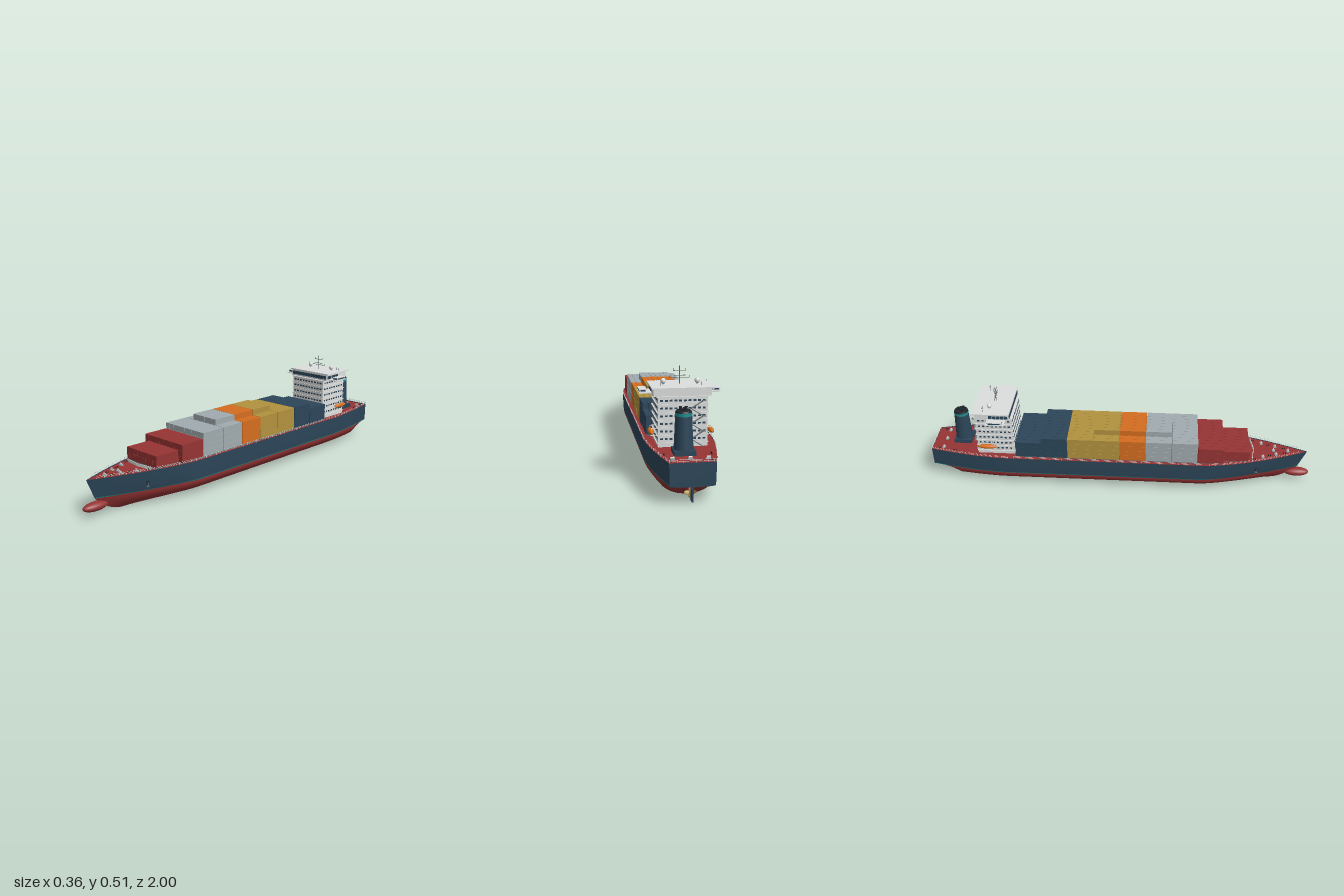
import * as THREE from 'three';
import { mergeGeometries } from 'three/addons/utils/BufferGeometryUtils.js';

const paint = (name, color, side = THREE.FrontSide) => {
  const m = new THREE.MeshStandardMaterial({ color, side });
  m.name = name;
  return m;
};
const V = (x, y, z) => new THREE.Vector3(x, y, z);
const box = (w, h, d, x, y, z) => new THREE.BoxGeometry(w, h, d).translate(x, y, z);
const rod = (a, b, r = 0.0009) => new THREE.TubeGeometry(new THREE.LineCurve3(a, b), 1, r, 5);
const range = (n, f) => Array.from({ length: n }, (_, i) => f(i));

// Hull form: s runs from the stern (-1) to the stem (0.975)
const DECK = 0.174, TOP = 0.178, WATER = 0.08, TIP = 0.975;
const fullness = (s, power) => {
  if (s > 0.42) return Math.max(0, 1 - Math.pow((s - 0.42) / (TIP - 0.42), power));
  if (s < -0.6) return 1 - 0.38 * Math.pow((-0.6 - s) / 0.4, 1.6);
  return 1;
};
const keel = (s) => 0.074 * Math.sin(Math.min(1, Math.max(0, (-0.86 - s) / 0.11)) * Math.PI / 2);
const stem = (y) => (y > WATER ? 0.935 + (y - WATER) * 0.41 : 0.78 + 0.155 * Math.sqrt(Math.max(0, y) / WATER));
const place = (x, y, s) => V(x, y, s > 0.4 ? 0.4 + (s - 0.4) * (stem(y) - 0.4) / (TIP - 0.4) : s);
const below = (s, v) => {
  const a = v * Math.PI / 2, k = keel(s);
  return place(0.151 * fullness(s, 1.35) * Math.sin(a), WATER - (WATER - k) * Math.cos(a), s);
};
const above = (s, y) => {
  const t = Math.sqrt(Math.max(0, y - WATER) / (TOP - WATER));
  return place(THREE.MathUtils.lerp(0.151 * fullness(s, 1.35), 0.156 * fullness(s, 1.6), t), y, s);
};

// Skin between two section parameters, one side of the ship
function skin(f, from, to, rows, side) {
  const n = 96, pos = [], idx = [];
  for (let i = 0; i <= n; i++) for (let j = 0; j <= rows; j++) {
    const p = f(-1 + (TIP + 1) * i / n, from + (to - from) * j / rows);
    pos.push(p.x * side, p.y, p.z);
  }
  for (let i = 0; i < n; i++) for (let j = 0; j < rows; j++) {
    const a = i * (rows + 1) + j, b = a + 1, c = a + rows + 1, d = c + 1;
    idx.push(...(side > 0 ? [a, b, c, b, d, c] : [a, c, b, b, c, d]));
  }
  const g = new THREE.BufferGeometry();
  g.setAttribute('position', new THREE.Float32BufferAttribute(pos, 3));
  g.setIndex(idx);
  g.computeVertexNormals();
  return g;
}

export function createModel() {
  const ship = new THREE.Group();
  ship.name = 'containerShip';
  const navy = paint('navy', 0x2c4659, THREE.DoubleSide), red = paint('red', 0x963434);
  const white = paint('white', 0xdcdfdd), grey = paint('lightGrey', 0xa1abaf);
  const yellow = paint('ochre', 0xb3923f), orange = paint('orange', 0xd56e20);
  const teal = paint('teal', 0x1f8a8c), black = paint('black', 0x20262b), steel = paint('steel', 0x687177);
  const add = (name, mat, geoms) => {
    const mesh = new THREE.Mesh(mergeGeometries([].concat(geoms)), mat);
    mesh.name = name;
    ship.add(mesh);
    return mesh;
  };
  const both = (f) => [-1, 1].flatMap(f);

  // Hull, boot stripe, transom and deck
  add('hullBottom', red, both((m) => skin(below, 0, 1, 14, m)));
  add('waterlineStripe', teal, both((m) => skin(above, WATER, 0.084, 1, m)));
  add('hullSides', navy, both((m) => skin(above, 0.084, TOP, 8, m)));
  const half = [...range(13, (i) => below(-1, i / 12)), ...range(6, (i) => above(-1, 0.09 + (TOP - 0.09) * i / 5))];
  const outline = [...half, ...half.slice(1).reverse().map((p) => V(-p.x, p.y, 0))];
  add('transom', navy, new THREE.ShapeGeometry(new THREE.Shape(outline.map((p) => new THREE.Vector2(p.x, p.y))))
    .rotateY(Math.PI).translate(0, 0, -1));
  const edge = range(80, (i) => above(-1 + (TIP + 1) * i / 80, DECK));
  const plan = [...edge.map((p) => new THREE.Vector2(p.x, -p.z)),
    new THREE.Vector2(0, -0.97), ...edge.map((p) => new THREE.Vector2(-p.x, -p.z)).reverse()];
  add('deck', red, new THREE.ShapeGeometry(new THREE.Shape(plan)).rotateX(-Math.PI / 2).translate(0, DECK, 0));
  add('bulbousBow', red, new THREE.SphereGeometry(1, 32, 20).scale(0.028, 0.0215, 0.066).translate(0, 0.0445, 0.934));

  // Rudder and propeller
  add('rudder', navy, [box(0.008, 0.055, 0.034, 0, 0.037, -0.979), rod(V(0, 0.06, -0.975), V(0, 0.08, -0.975), 0.004)]);
  add('shaft', red, rod(V(0, 0.034, -0.86), V(0, 0.034, -0.932), 0.006));
  add('propeller', yellow, [
    new THREE.SphereGeometry(0.007, 12, 8).translate(0, 0.034, -0.938),
    ...range(4, (i) => new THREE.SphereGeometry(1, 10, 8).scale(0.0085, 0.0125, 0.0015).rotateY(0.5)
      .translate(0, 0.014, 0).rotateZ(i * Math.PI / 2).translate(0, 0.034, -0.94))]);

  // Anchors in their pockets
  const anchorAt = above(0.72, 0.118);
  add('anchorPockets', black, both((m) => box(0.006, 0.016, 0.014, m * anchorAt.x, 0.12, anchorAt.z)));
  add('anchors', steel, both((m) => [box(0.004, 0.02, 0.004, m * (anchorAt.x + 0.003), 0.112, anchorAt.z + 0.002),
    box(0.004, 0.004, 0.014, m * (anchorAt.x + 0.003), 0.102, anchorAt.z + 0.002)]));

  // Deck rails follow the hull edge
  const railLine = (m, y) => range(62, (i) => above(-0.998 + 1.93 * i / 61, TOP)).map((p) => V(m * (p.x - 0.001), y, p.z));
  add('deckRails', white, both((m) => [
    ...[0.184, 0.19].map((y) => new THREE.TubeGeometry(new THREE.CatmullRomCurve3(railLine(m, y)), 120, 0.0007, 4)),
    ...railLine(m, 0.184).map((p) => box(0.0012, 0.013, 0.0012, p.x, 0.184, p.z))]));
  add('sternRail', white, [...[0.184, 0.19].map((y) => box(0.19, 0.0013, 0.0013, 0, y, -0.998)),
    ...range(8, (i) => box(0.0012, 0.013, 0.0012, -0.0875 + i * 0.025, 0.184, -0.998))]);

  // Container bays from bow to stern: [colour, columns, full tiers, extra six-wide tier]
  const bays = [[red, 8, 2, 0], [red, 10, 3, 0], [grey, 10, 4, 0], [grey, 10, 4, 1], [orange, 10, 4, 1],
    [yellow, 10, 4, 1], [yellow, 10, 4, 0], [navy, 10, 4, 0], [navy, 10, 3, 0]];
  const W = 0.0272, H = 0.0295, PITCH = 0.1345;
  bays.forEach(([mat, cols, tiers, extra], b) => {
    const z = 0.599 - b * PITCH, stack = [];
    for (let t = 0; t < tiers + extra; t++) {
      const n = t < tiers ? cols : 6;
      for (let c = 0; c < n; c++) {
        stack.push(box(W - 0.0012, H - 0.0008, 0.132, (c - (n - 1) / 2) * W, 0.1795 + (t + 0.5) * H, z));
      }
    }
    add('containerBay' + (b + 1), mat, stack);
    add('hatchCover' + (b + 1), steel, box(cols * W - 0.008, 0.007, 0.128, 0, 0.1758, z));
  });

  // Breakwater and mooring gear
  add('breakwater', white, both((m) => box(0.09, 0.014, 0.003, 0, 0, 0).rotateY(m * 0.14).translate(m * 0.044, 0.181, 0.688)));
  const gear = [[-0.058, 0.74], [0.058, 0.74], [0, 0.8], [-0.034, 0.81], [0.034, 0.81], [0, 0.875],
    [-0.075, -0.94], [0, -0.94], [0.075, -0.94]];
  add('winchBeds', grey, gear.map(([x, z]) => box(0.02, 0.005, 0.014, x, DECK + 0.0025, z)));
  add('winchDrums', white, gear.map(([x, z]) => rod(V(x - 0.008, 0.183, z), V(x + 0.008, 0.183, z), 0.004)));
  add('bollards', black, both((m) => [[0.045, 0.77], [0.02, 0.85], [0.08, 0.69], [0.085, -0.97], [0.1, -0.88]]
    .flatMap(([x, z]) => [0, 0.01].map((d) => rod(V(m * x, DECK, z + d), V(m * x, DECK + 0.009, z + d), 0.0025)))));

  // Accommodation block with a ledge and window row on each deck
  const STEP = 0.0335, ZM = -0.65;
  add('accommodation', white, [box(0.216, 0.222, 0.19, 0, 0.283, ZM),
    ...range(7, (i) => box(0.226, 0.003, 0.198, 0, 0.192 + i * STEP, ZM))]);
  const panes = [];
  for (let d = 0; d < 6; d++) {
    const y = 0.21 + d * STEP;
    for (let i = 0; i < 10; i++) for (const z of [-0.555, -0.745]) {
      panes.push(box(0.012, 0.008, 0.003, (i - 4.5) * 0.0205, y, z));
    }
    for (let i = 0; i < 8; i++) for (const x of [-0.108, 0.108]) {
      panes.push(box(0.003, 0.008, 0.011, x, y, ZM + (i - 3.5) * 0.022));
    }
  }
  add('cabinWindows', navy, panes);

  // Bridge, roof and wings
  add('bridge', white, [box(0.252, 0.034, 0.175, 0, 0.411, -0.652), box(0.27, 0.006, 0.193, 0, 0.431, -0.66)]);
  add('bridgeWindows', navy, [
    ...range(13, (i) => box(0.0172, 0.019, 0.003, (i - 6) * 0.0186, 0.412, -0.5645)),
    ...both((m) => range(5, (i) => box(0.003, 0.017, 0.017, m * 0.126, 0.412, -0.58 - i * 0.02)))]);
  add('bridgeWings', white, [box(0.36, 0.004, 0.095, 0, 0.399, -0.63),
    ...both((m) => [box(0.029, 0.012, 0.07, m * 0.163, 0.407, -0.63), box(0.034, 0.002, 0.076, m * 0.163, 0.414, -0.63)])]);
  add('wingWindows', navy, both((m) => [box(0.022, 0.007, 0.0725, m * 0.163, 0.408, -0.63),
    box(0.0015, 0.007, 0.06, m * 0.178, 0.408, -0.63)]));
  add('wingBraces', grey, both((m) => [-0.6, -0.66].map((z) => rod(V(m * 0.106, 0.375, z), V(m * 0.145, 0.398, z), 0.0015))));

  // Mast, radar domes and aerials
  add('mast', steel, [rod(V(0, 0.43, ZM), V(0, 0.512, ZM), 0.0016),
    ...[[0.46, 0.043], [0.47, 0.026], [0.491, 0.027]].map(([y, w]) => box(w * 2, 0.002, 0.003, 0, y, ZM)),
    ...both((m) => [rod(V(m * 0.043, 0.46, ZM), V(m * 0.043, 0.47, ZM)), rod(V(m * 0.027, 0.491, ZM), V(m * 0.027, 0.502, ZM)),
      ...[0.09, 0.108].map((x) => rod(V(m * x, 0.43, -0.7), V(m * x, 0.459, -0.7)))])]);
  add('radarDomes', white, both((m) => [new THREE.SphereGeometry(0.0115, 20, 14).scale(1, 1.15, 1).translate(m * 0.075, 0.45, -0.67),
    rod(V(m * 0.075, 0.432, -0.67), V(m * 0.075, 0.442, -0.67), 0.005)]));

  // Lifeboats on davits
  add('lifeboats', orange, both((m) => new THREE.SphereGeometry(1, 24, 14).scale(0.013, 0.0115, 0.05).translate(m * 0.132, 0.234, -0.69)));
  add('davits', white, both((m) => [-0.66, -0.72].flatMap((z) => [rod(V(m * 0.106, 0.218, z), V(m * 0.137, 0.222, z), 0.002),
    rod(V(m * 0.106, 0.252, z), V(m * 0.134, 0.252, z), 0.002), rod(V(m * 0.134, 0.252, z), V(m * 0.134, 0.24, z), 0.001)])));

  // Zigzag stairs on the aft wall
  add('aftStairs', steel, range(6, (i) => {
    const y = 0.176 + i * STEP, m = i % 2 ? 1 : -1;
    return [box(0.062, 0.003, 0.01, 0, 0, 0).rotateZ(m * -0.56).translate(-0.06, y + STEP / 2, -0.757),
      box(0.016, 0.002, 0.016, -0.06 - m * 0.03, y + STEP, -0.756)];
  }).flat());

  // Funnel with a coloured band and exhaust pipes
  const FX = 0.014, FZ = -0.848;
  const ring = (r0, r1, y0, y1) => new THREE.CylinderGeometry(r1, r0, y1 - y0, 28).scale(0.95, 1, 1).translate(FX, (y0 + y1) / 2, FZ);
  add('funnel', navy, [box(0.092, 0.02, 0.092, FX, 0.184, FZ), ring(0.044, 0.037, 0.19, 0.338)]);
  add('funnelBand', teal, ring(0.0375, 0.037, 0.336, 0.35));
  add('funnelTop', black, [ring(0.037, 0.034, 0.35, 0.358),
    ...[[-0.012, 0.01], [0.012, 0.01], [0, -0.012]].map(([x, z]) => rod(V(FX + x, 0.35, FZ + z), V(FX + x, 0.371, FZ + z), 0.007)),
    ...[[-0.012, 0.01], [0.012, 0.01], [0, -0.012]].map(([x, z]) => new THREE.CylinderGeometry(0.007, 0.007, 0.002, 12).translate(FX + x, 0.371, FZ + z))]);

  return ship;
}
